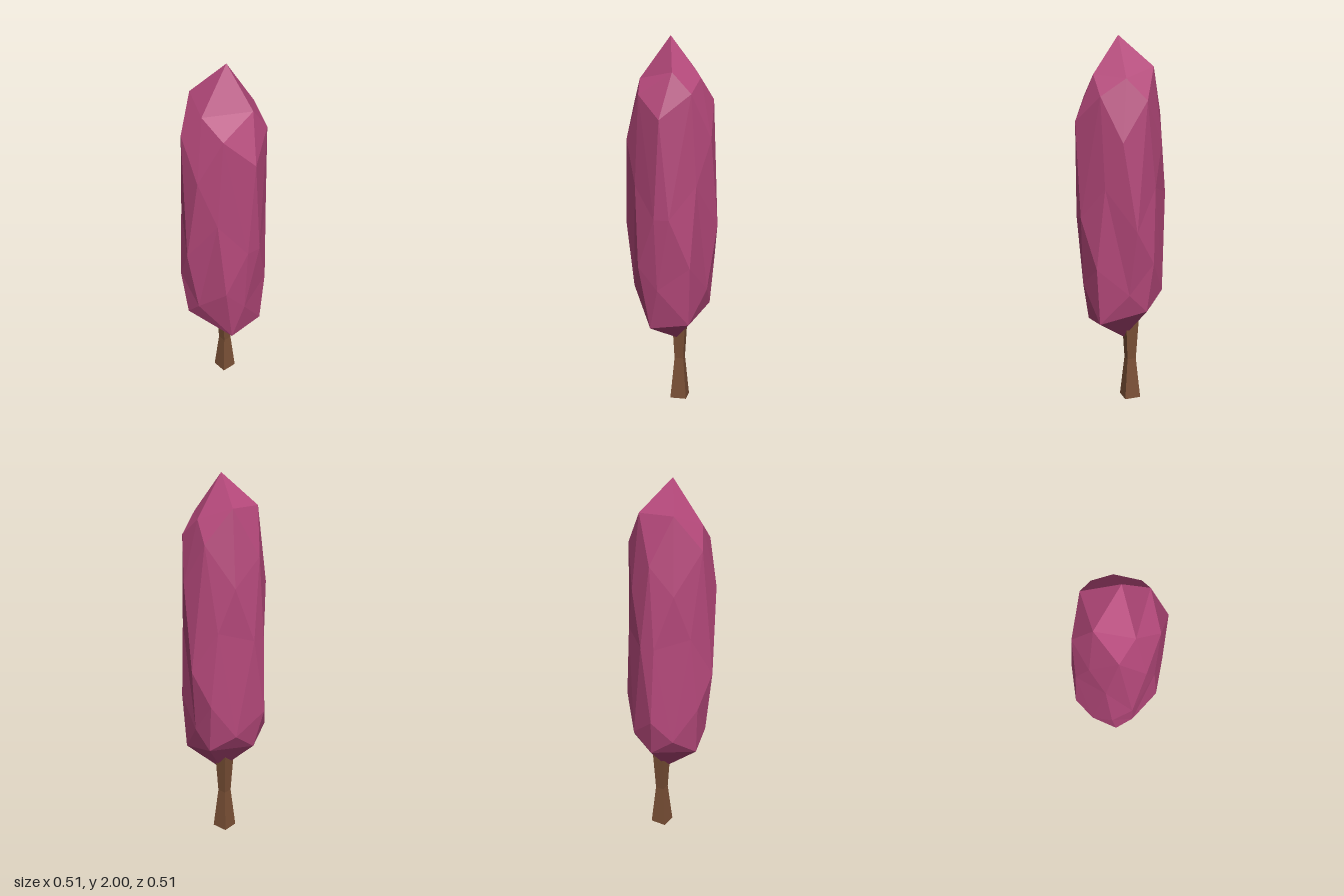
import * as THREE from 'three';

// Mirrors half a ring (from +x round the front to -x) across z; points flagged by
// being first or last may lie on the mirror plane and are then kept single.
function mirrorRing(half, firstSingle, lastSingle) {
  const back = half
    .slice(firstSingle ? 1 : 0, lastSingle ? -1 : undefined)
    .map(([x, y, z]) => [x, y, -z])
    .reverse();
  return [...half, ...back];
}

// Crown: a stretched, irregular subdivided icosahedron, built ring by ring
function crownGeometry() {
  const apex = [0.02, 2, 0];
  const shoulder = mirrorRing([[0.17, 1.8, -0.04], [0.035, 1.78, 0.165], [-0.14, 1.84, 0.1]], true, false);
  const upper = mirrorRing([[0.255, 1.56, 0.01], [0.165, 1.69, 0.14], [0.075, 1.46, 0.23],
    [-0.06, 1.67, 0.22], [-0.18, 1.45, 0.125], [-0.225, 1.6, 0.01]], true, true);
  const middle = mirrorRing([[0.245, 1.05, 0.04], [0.15, 1.22, 0.165], [0.005, 1.0, 0.255],
    [-0.12, 1.22, 0.19], [-0.238, 1.17, 0.04]], false, false);
  const lower = mirrorRing([[0.215, 0.67, 0.03], [0.19, 0.79, 0.14], [0.03, 0.65, 0.205],
    [-0.1, 0.82, 0.225], [-0.19, 0.64, 0.125], [-0.257, 0.76, 0.03]], true, true);
  // the base ring starts one step round, so its single point is on the -x side
  const base = mirrorRing([[0.17, 0.45, 0.08], [-0.07, 0.55, 0.203], [-0.21, 0.55, 0]], false, true);
  base[4] = [0.17, 0.48, -0.13];
  const bottom = [0, 0.355, -0.03];

  const positions = [];
  const face = (...corners) => corners.forEach((c) => positions.push(...c));
  const at = (ring, i) => ring[(i + ring.length) % ring.length];

  for (let i = 0; i < 5; i++) {
    const s = at(shoulder, i), s1 = at(shoulder, i + 1);
    face(apex, s1, s);
    face(s, at(upper, 2 * i + 1), at(upper, 2 * i));
    face(s, at(upper, 2 * i), at(upper, 2 * i - 1));
    face(s, s1, at(upper, 2 * i + 1));

    const b = at(base, i);
    face(at(lower, 2 * i), at(lower, 2 * i + 1), b);
    face(at(lower, 2 * i + 1), at(lower, 2 * i + 2), b);
    face(at(lower, 2 * i), b, at(base, i - 1));
    face(bottom, b, at(base, i + 1));
  }
  for (let j = 0; j < 10; j++) {
    const m = at(middle, j), m0 = at(middle, j - 1);
    face(at(upper, j), at(upper, j + 1), m);
    face(at(upper, j), m, m0);
    face(m0, m, at(lower, j));
    face(m, at(lower, j + 1), at(lower, j));
  }

  const geometry = new THREE.BufferGeometry();
  geometry.setAttribute('position', new THREE.Float32BufferAttribute(positions, 3));
  geometry.computeVertexNormals();
  return geometry;
}

// Trunk: a square post pinched at mid height
function trunkGeometry() {
  const height = 0.46;
  const geometry = new THREE.BoxGeometry(1, height, 1, 1, 2, 1).translate(0, height / 2, 0);
  const widths = [0.09, 0.05, 0.074];
  const p = geometry.attributes.position;
  for (let i = 0; i < p.count; i++) {
    const w = widths[Math.round((p.getY(i) / height) * 2)];
    p.setX(i, p.getX(i) * w);
    p.setZ(i, p.getZ(i) * w);
  }
  geometry.computeVertexNormals();
  return geometry;
}

export function createModel() {
  const tree = new THREE.Group();
  tree.name = 'tree';

  const crown = new THREE.Mesh(crownGeometry(),
    new THREE.MeshStandardMaterial({ color: 0xb4487a, flatShading: true }));
  crown.name = 'crown';

  const trunk = new THREE.Mesh(trunkGeometry(),
    new THREE.MeshStandardMaterial({ color: 0x7a5036, flatShading: true }));
  trunk.name = 'trunk';
  trunk.position.set(-0.036, 0, -0.04);

  tree.add(crown, trunk);
  return tree;
}
